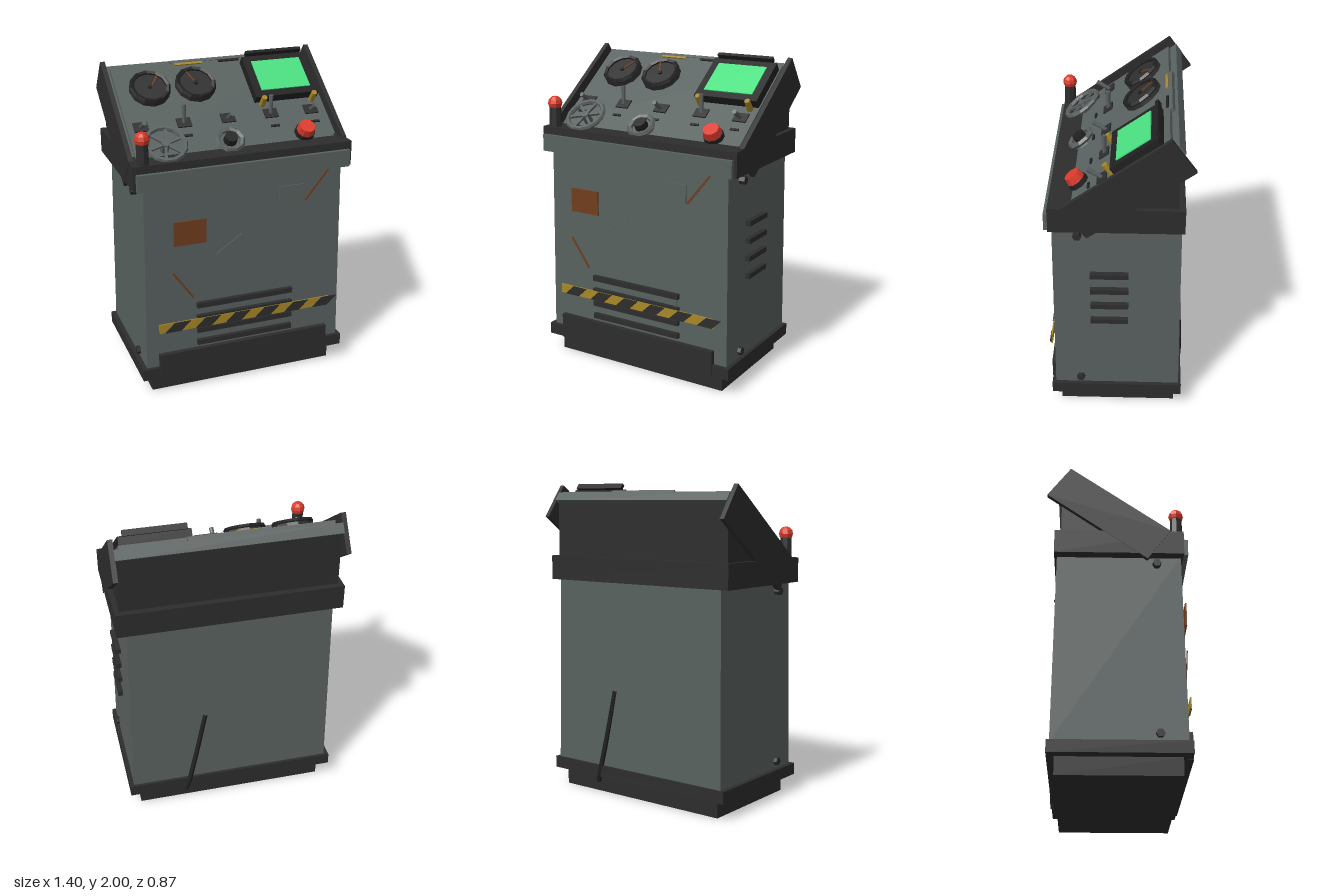
import * as THREE from 'three';

const mat = (name, color, flat = true) => {
  const m = new THREE.MeshStandardMaterial({ color, flatShading: flat });
  m.name = name;
  return m;
};

export function createModel() {
  const root = new THREE.Group();
  root.name = 'controlConsole';
  const paint = mat('greyPaint', 0x58615f);
  const dark = mat('darkSteel', 0x2d2d2d);
  const black = mat('blackPlastic', 0x212121);
  const metal = mat('wornMetal', 0x5a6160);
  const rust = mat('rust', 0x713d1d);
  const yellow = mat('yellowPaint', 0xa78728);
  const red = mat('signalRed', 0xdc3a2a);
  const green = mat('screenGreen', 0x4ade80);

  const add = (parent, name, geo, material, x = 0, y = 0, z = 0) => {
    const m = new THREE.Mesh(geo, material);
    m.name = name;
    m.position.set(x, y, z);
    parent.add(m);
    return m;
  };
  // box from its limits on each axis
  const span = (parent, name, material, x0, x1, y0, y1, z0, z1) =>
    add(parent, name, new THREE.BoxGeometry(x1 - x0, y1 - y0, z1 - z0), material,
      (x0 + x1) / 2, (y0 + y1) / 2, (z0 + z1) / 2);
  // cylinder standing along local z, from z0 to z1
  const peg = (parent, name, material, x, y, z0, z1, r0, r1 = r0, sides = 10) =>
    add(parent, name, new THREE.CylinderGeometry(r1, r0, z1 - z0, sides).rotateX(Math.PI / 2),
      material, x, y, (z0 + z1) / 2);
  // thin bar between two points in an xy plane
  const streak = (parent, name, material, ax, ay, bx, by, z, w, t = 0.006) => {
    const m = add(parent, name, new THREE.BoxGeometry(Math.hypot(bx - ax, by - ay), w, t),
      material, (ax + bx) / 2, (ay + by) / 2, z);
    m.rotation.z = Math.atan2(by - ay, bx - ax);
    return m;
  };

  // Cabinet: plinth, skirt, tapered body, collar
  span(root, 'plinth', dark, -0.615, 0.61, 0, 0.11, -0.355, 0.372);
  span(root, 'skirt', dark, -0.685, 0.68, 0.11, 0.185, -0.4, 0.425);
  const body = new THREE.BoxGeometry(1.31, 1.21, 0.785);
  const p = body.attributes.position;
  for (let i = 0; i < p.count; i++) {
    if (p.getY(i) > 0) p.setXYZ(i, p.getX(i) * 0.975, p.getY(i), p.getZ(i) * 0.965);
  }
  add(root, 'cabinetBody', body, paint, 0, 0.785, 0.01);
  span(root, 'collar', dark, -0.7, 0.7, 1.38, 1.535, -0.385, 0.405);
  span(root, 'collarTrim', paint, -0.685, 0.68, 1.38, 1.487, 0.4, 0.43);
  span(root, 'kickPlate', dark, -0.575, 0.567, 0.108, 0.275, 0.4, 0.432);

  // Wedge housing behind the sloping panel
  const wedge = new THREE.Shape([[0.345, 1.5], [0.345, 1.88], [-0.17, 1.5]]
    .map(([a, b]) => new THREE.Vector2(a, b)));
  const wedgeGeo = new THREE.ExtrudeGeometry(wedge, { depth: 1.34, bevelEnabled: false });
  wedgeGeo.translate(0, 0, -0.67).rotateY(Math.PI / 2);
  add(root, 'rearHousing', wedgeGeo, dark);

  // Side cheeks
  const slope = Math.PI / 5;
  for (const s of [-1, 1]) {
    const cheek = add(root, 'sideCheek', new THREE.BoxGeometry(0.03, 0.245, 0.765), dark,
      s * 0.687, 1.665, -0.055);
    cheek.rotation.x = slope;
  }

  // Sloping panel: local y runs up the slope, local z points out of it
  const panel = new THREE.Group();
  panel.name = 'slopingPanel';
  panel.position.set(0, 1.733, 0);
  panel.rotation.x = slope - Math.PI / 2;
  root.add(panel);
  span(panel, 'panelSlab', paint, -0.675, 0.675, -0.32, 0.396, -0.088, -0.025);
  span(panel, 'panelPlate', paint, -0.643, 0.643, -0.335, 0.352, -0.025, 0);
  span(panel, 'topLip', metal, -0.25, 0.247, 0.352, 0.375, -0.03, 0.002);
  span(panel, 'yellowLabel', yellow, -0.227, -0.045, 0.332, 0.348, 0, 0.008);
  span(panel, 'darkLabel', black, 0.065, 0.205, 0.332, 0.348, 0, 0.008);

  // Dial gauges
  for (const [x, dx, dy] of [[-0.437, 0.065, 0.085], [-0.14, -0.042, 0.09]]) {
    const g = new THREE.Group();
    g.name = 'gauge';
    g.position.set(x, 0.16, 0);
    panel.add(g);
    peg(g, 'gaugeCase', dark, 0, 0, 0, 0.03, 0.13, 0.125, 12);
    add(g, 'gaugeBezel', new THREE.TorusGeometry(0.115, 0.016, 5, 12), black, 0, 0, 0.032);
    streak(g, 'gaugeNeedle', rust, 0, -0.01, dx, dy, 0.036, 0.009);
    peg(g, 'needleHub', black, 0, 0, 0.03, 0.042, 0.014, 0.014, 8);
  }

  // Monitor
  span(panel, 'monitorHousing', black, 0.205, 0.635, -0.02, 0.31, 0, 0.057);
  span(panel, 'screen', green, 0.255, 0.587, 0.027, 0.263, 0.057, 0.064);
  span(panel, 'monitorVisor', black, 0.23, 0.61, 0.31, 0.332, 0.052, 0.088);
  for (const x of [0.248, 0.588]) {
    peg(panel, 'monitorKnob', yellow, x, -0.042, 0, 0.078, 0.02, 0.018, 8);
  }

  // Toggle switches
  [[-0.56, -0.38], [-0.288, 0.6], [-0.003, -0.38], [0.284, 0.6], [0.557, -0.38]].forEach(([x, tilt]) => {
    const t = new THREE.Group();
    t.name = 'toggleSwitch';
    t.position.set(x, -0.115, 0);
    panel.add(t);
    span(t, 'switchPlate', dark, -0.045, 0.045, -0.034, 0.034, 0, 0.009);
    const lever = new THREE.Group();
    lever.name = 'switchLever';
    lever.rotation.x = -tilt;
    t.add(lever);
    peg(lever, 'leverStem', metal, 0, 0, 0, tilt > 0 ? 0.12 : 0.1, 0.012, 0.015, 8);
    span(t, 'switchLabel', black, -0.028, 0.028, -0.105, -0.09, 0, 0.008);
  });

  // Handwheel
  const wheel = new THREE.Group();
  wheel.name = 'handwheel';
  wheel.position.set(-0.46, -0.295, 0.06);
  panel.add(wheel);
  add(wheel, 'wheelRim', new THREE.TorusGeometry(0.12, 0.017, 6, 14), metal);
  for (let i = 0; i < 3; i++) {
    const spoke = add(wheel, 'wheelSpoke', new THREE.BoxGeometry(0.23, 0.016, 0.014), metal);
    spoke.rotation.z = (i * Math.PI) / 3 + 0.3;
  }
  peg(wheel, 'wheelHub', metal, 0, 0, -0.06, 0.014, 0.028, 0.028, 8);

  // Small valve
  add(panel, 'valveRing', new THREE.TorusGeometry(0.078, 0.018, 5, 9), metal, -0.047, -0.297, 0.03);
  peg(panel, 'valveBase', paint, -0.047, -0.297, 0, 0.02, 0.08, 0.07, 9);
  peg(panel, 'valveKnob', black, -0.047, -0.297, 0, 0.065, 0.045, 0.04, 10);

  // Stop button
  peg(panel, 'buttonCollar', black, 0.455, -0.29, 0, 0.03, 0.066, 0.062, 10);
  peg(panel, 'stopButton', red, 0.455, -0.29, 0.03, 0.075, 0.058, 0.05, 10);

  // Warning beacon
  add(root, 'beaconPost', new THREE.CylinderGeometry(0.036, 0.04, 0.125, 8), dark, -0.63, 1.597, 0.365);
  add(root, 'beaconLamp', new THREE.SphereGeometry(0.046, 8, 6), red, -0.63, 1.685, 0.365);

  // Front louvres
  for (const y of [0.577, 0.49, 0.403, 0.317]) {
    span(root, 'frontLouvre', dark, -0.322, 0.318, y - 0.017, y + 0.017, 0.398, 0.425);
  }

  // Hazard band with slanted stripes
  span(root, 'hazardBand', yellow, -0.575, 0.575, 0.43, 0.492, 0.422, 0.43);
  const stripe = new THREE.Shape([[-0.085, -0.031], [0.02, -0.031], [0.085, 0.031], [-0.02, 0.031]]
    .map(([a, b]) => new THREE.Vector2(a, b)));
  const stripeGeo = new THREE.ExtrudeGeometry(stripe, { depth: 0.004, bevelEnabled: false });
  for (let i = 0; i < 6; i++) {
    add(root, 'hazardStripe', stripeGeo, dark, -0.455 + i * 0.2, 0.461, 0.43);
  }

  // Patches and scratches on the front
  span(root, 'rustPatch', rust, -0.47, -0.265, 1.01, 1.165, 0.423, 0.432);
  span(root, 'repairPatch', paint, 0.21, 0.377, 1.19, 1.305, 0.423, 0.43);
  streak(root, 'rustScratch', rust, 0.385, 1.19, 0.545, 1.39, 0.425, 0.012);
  streak(root, 'rustScratch', rust, -0.48, 0.832, -0.35, 0.645, 0.425, 0.012);
  streak(root, 'paleScratch', metal, -0.2, 0.915, -0.035, 1.025, 0.425, 0.007);
  streak(root, 'paleScratch', metal, 0.305, 0.56, 0.26, 0.37, 0.408, 0.007);

  // Side vents and bolts
  for (const y of [1.043, 0.93, 0.817, 0.703]) {
    span(root, 'sideVent', dark, 0.635, 0.678, y - 0.016, y + 0.016, -0.06, 0.17);
  }
  for (const s of [-1, 1]) {
    for (const y of [1.33, 0.233]) {
      add(root, 'sideBolt', new THREE.CylinderGeometry(0.026, 0.026, 0.045, 6).rotateZ(Math.PI / 2),
        dark, s * 0.655, y, 0.24);
    }
  }

  // Rear cable
  const cable = new THREE.CatmullRomCurve3([
    new THREE.Vector3(0.17, 0.69, -0.375), new THREE.Vector3(0.23, 0.4, -0.385),
    new THREE.Vector3(0.29, 0.14, -0.393), new THREE.Vector3(0.31, 0.075, -0.385)]);
  const cableMesh = add(root, 'rearCable', new THREE.TubeGeometry(cable, 12, 0.016, 6), black);
  cableMesh.geometry.computeVertexNormals();

  return root;
}
